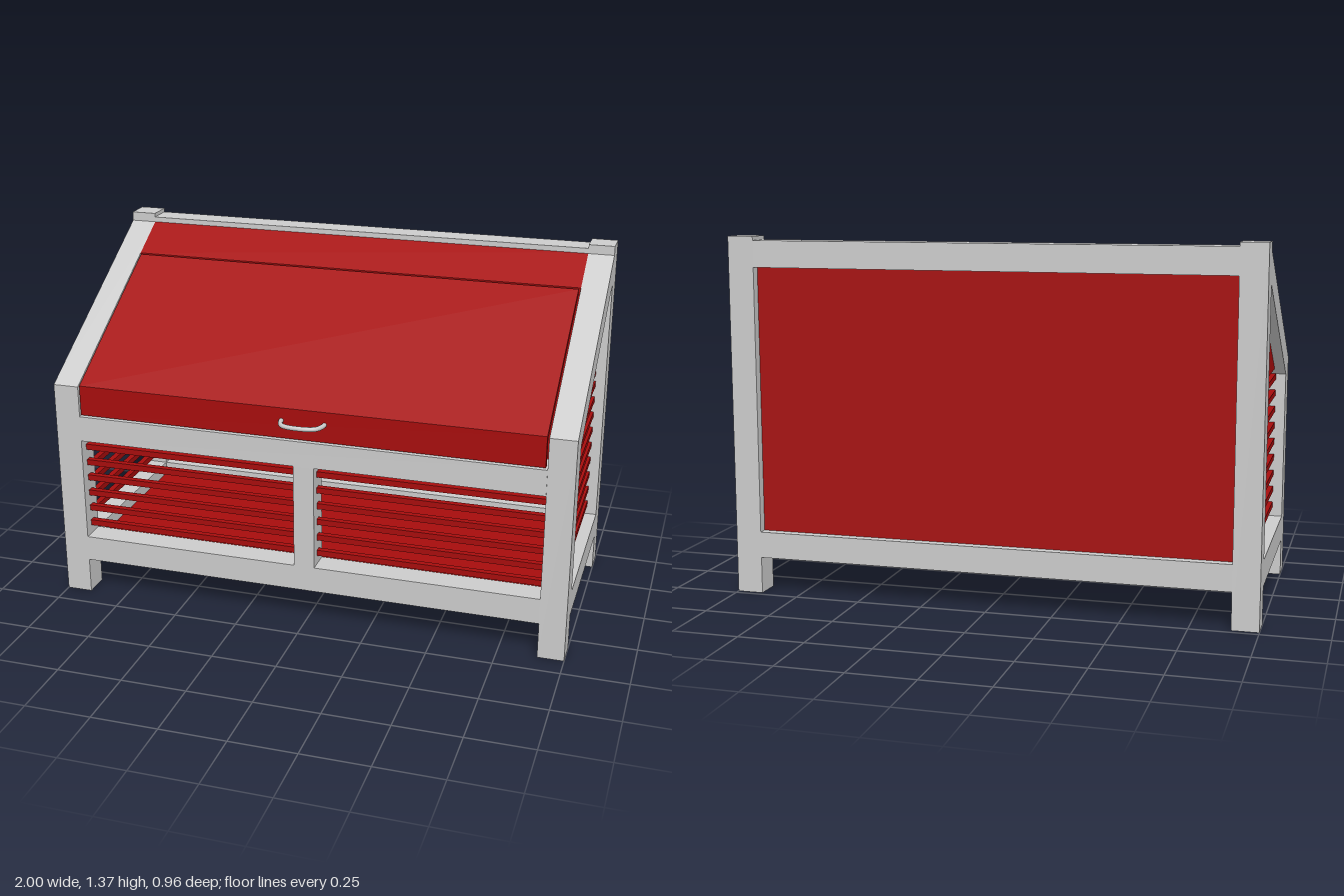
import * as THREE from 'three';

export function createModel() {
  const model = new THREE.Group();
  model.name = 'slopedStorageBox';
  const grey = new THREE.MeshStandardMaterial({ color: 0xcccccc });
  const red = new THREE.MeshStandardMaterial({ color: 0xa60c0c });

  const add = (name, geometry, material) => {
    const mesh = new THREE.Mesh(geometry, material);
    mesh.name = name;
    model.add(mesh);
    return mesh;
  };
  // Box given by its two extents along each axis
  const box = (name, material, [x0, x1], [y0, y1], [z0, z1]) =>
    add(name, new THREE.BoxGeometry(x1 - x0, y1 - y0, z1 - z0), material)
      .position.set((x0 + x1) / 2, (y0 + y1) / 2, (z0 + z1) / 2);
  // Side profile of [z, y] points, extruded from x0 to x1
  const prism = (name, material, points, x0, x1) => {
    const shape = new THREE.Shape(points.map(([z, y]) => new THREE.Vector2(z, y)));
    const geometry = new THREE.ExtrudeGeometry(shape, { depth: x1 - x0, bevelEnabled: false });
    geometry.rotateY(-Math.PI / 2).translate(x1, 0, 0);
    add(name, geometry, material);
  };
  const roofY = (z) => 0.87 + (0.41 - z) * 0.582;

  const back = [-0.48, -0.38], front = [0.31, 0.41], inner = [-0.9, 0.9];
  const baseY = [0.14, 0.24];
  const slatY = (i) => [0.274 + i * 0.0648, 0.297 + i * 0.0648];

  // Side frames: posts, sloped rails, base rails, slats and gable panels
  for (const [side, s] of [['left', 1], ['right', -1]]) {
    const span = (a, b) => (s > 0 ? [a, b] : [-b, -a]);
    const post = span(0.9, 1);
    box(side + 'BackPost', grey, post, [0, 1.365], back);
    prism(side + 'FrontPostAndSlopedRail', grey, [
      [0.31, 0], [0.41, 0], [0.41, 0.87], [-0.38, roofY(-0.38)], [-0.38, 1.215], [0.31, 0.815],
    ], ...post);
    box(side + 'BaseRail', grey, post, baseY, [-0.38, 0.31]);
    for (let i = 0; i < 9; i++)
      box(side + 'SideSlat', red, span(0.938, 0.962), slatY(i), [-0.38, 0.31]);
    prism(side + 'GablePanel', red,
      [[0.267, 0.84], [-0.38, 0.84], [-0.38, 1.215]], ...span(0.94, 0.96));
  }

  // Front frame
  box('frontBaseRail', grey, inner, baseY, front);
  box('frontMiddleRail', grey, inner, [0.65, 0.75], [0.31, 0.413]);
  box('frontDivider', grey, [-0.04, 0.04], [0.24, 0.65], front);
  for (const x of [[-0.9, -0.04], [0.04, 0.9]])
    for (let i = 0; i < 6; i++) box('frontSlat', red, x, slatY(i), [0.348, 0.372]);

  // Back frame, back panel and floor
  box('backBaseRail', grey, inner, baseY, back);
  box('backTopRail', grey, inner, [1.25, 1.35], back);
  box('backPanel', red, inner, [0.24, 1.25], [-0.445, -0.425]);
  box('floor', red, inner, [0.17, 0.19], [-0.38, 0.31]);

  // Fixed roof strip and hinged lid with its front flap
  prism('fixedRoofPanel', red, [
    [-0.22, roofY(-0.22)], [-0.385, roofY(-0.385)],
    [-0.385, roofY(-0.385) - 0.025], [-0.22, roofY(-0.22) - 0.025],
  ], ...inner);
  prism('lid', red, [
    [0.41, 0.757], [0.41, 0.875], [-0.208, roofY(-0.208) + 0.005],
    [-0.208, roofY(-0.208) - 0.02], [0.388, 0.86], [0.388, 0.757],
  ], -0.893, 0.893);

  // Lid handle
  const curve = new THREE.CatmullRomCurve3([
    [-0.083, 0.405], [-0.08, 0.43], [-0.065, 0.458], [-0.035, 0.47],
    [0.035, 0.47], [0.065, 0.458], [0.08, 0.43], [0.083, 0.405],
  ].map(([x, z]) => new THREE.Vector3(x, 0.826, z)));
  add('handle', new THREE.TubeGeometry(curve, 32, 0.009, 10), grey);

  return model;
}
